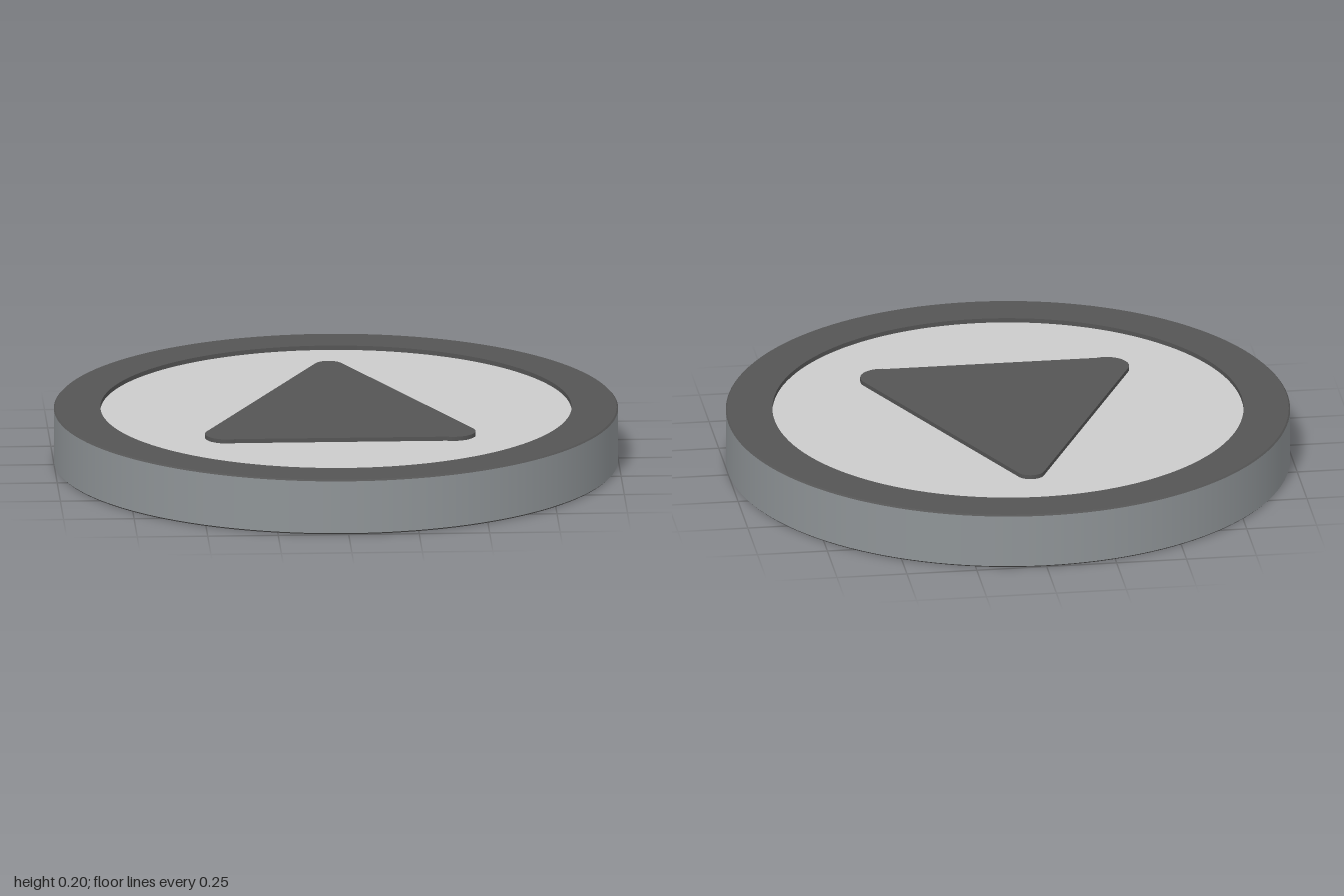
import * as THREE from 'three';

const SEGMENTS = 128;
const HEIGHT = 0.2;
const INNER = 0.835;
const BEVEL = 0.005;

const material = (color) => new THREE.MeshStandardMaterial({ color });

export function createModel() {
  const model = new THREE.Group();
  const dark = material(0x555555);
  const steel = material(0x8f9497);
  const grey = material(0xcccccc);

  const add = (name, geometry, mat, parent = model) => {
    const mesh = new THREE.Mesh(geometry, mat);
    mesh.name = name;
    parent.add(mesh);
    return mesh;
  };

  // Rim: one revolved band per profile edge, so every edge stays sharp
  const rim = new THREE.Group();
  rim.name = 'rim';
  model.add(rim);
  const band = (name, r1, y1, r2, y2, mat) => add(name, new THREE.LatheGeometry(
    [new THREE.Vector2(r1, y1), new THREE.Vector2(r2, y2)], SEGMENTS), mat, rim);
  band('rimBottom', INNER, 0, 1 - BEVEL, 0, dark);
  band('rimLowerBevel', 1 - BEVEL, 0, 1, BEVEL, dark);
  band('rimSide', 1, BEVEL, 1, HEIGHT - BEVEL, steel);
  band('rimUpperBevel', 1, HEIGHT - BEVEL, 1 - BEVEL, HEIGHT, dark);
  band('rimTop', 1 - BEVEL, HEIGHT, INNER, HEIGHT, dark);
  band('rimInnerWall', INNER, HEIGHT, INNER, 0, dark);

  // Face disc, slightly recessed at the top and flush underneath
  const faceY = HEIGHT - 0.016;
  add('faceDisc', new THREE.CylinderGeometry(INNER, INNER, faceY, SEGMENTS), grey)
    .position.y = faceY / 2;

  // Raised arrowhead with rounded corners, pointing to the back
  const edge = THREE.MathUtils.degToRad(25.3);
  const tail = THREE.MathUtils.degToRad(-108.7);
  const arrow = new THREE.Shape();
  arrow.moveTo(0, -0.295);
  arrow.absarc(0.4, -0.345, 0.08, tail, edge, false);
  arrow.absarc(0, 0.58, 0.05, edge, Math.PI - edge, false);
  arrow.absarc(-0.4, -0.345, 0.08, Math.PI - edge, Math.PI - tail, false);
  arrow.closePath();
  const arrowGeometry = new THREE.ExtrudeGeometry(arrow, {
    depth: HEIGHT - 0.001 - faceY, bevelEnabled: false, curveSegments: 16,
  });
  arrowGeometry.rotateX(-Math.PI / 2);
  add('arrowhead', arrowGeometry, dark).position.y = faceY;

  return model;
}
